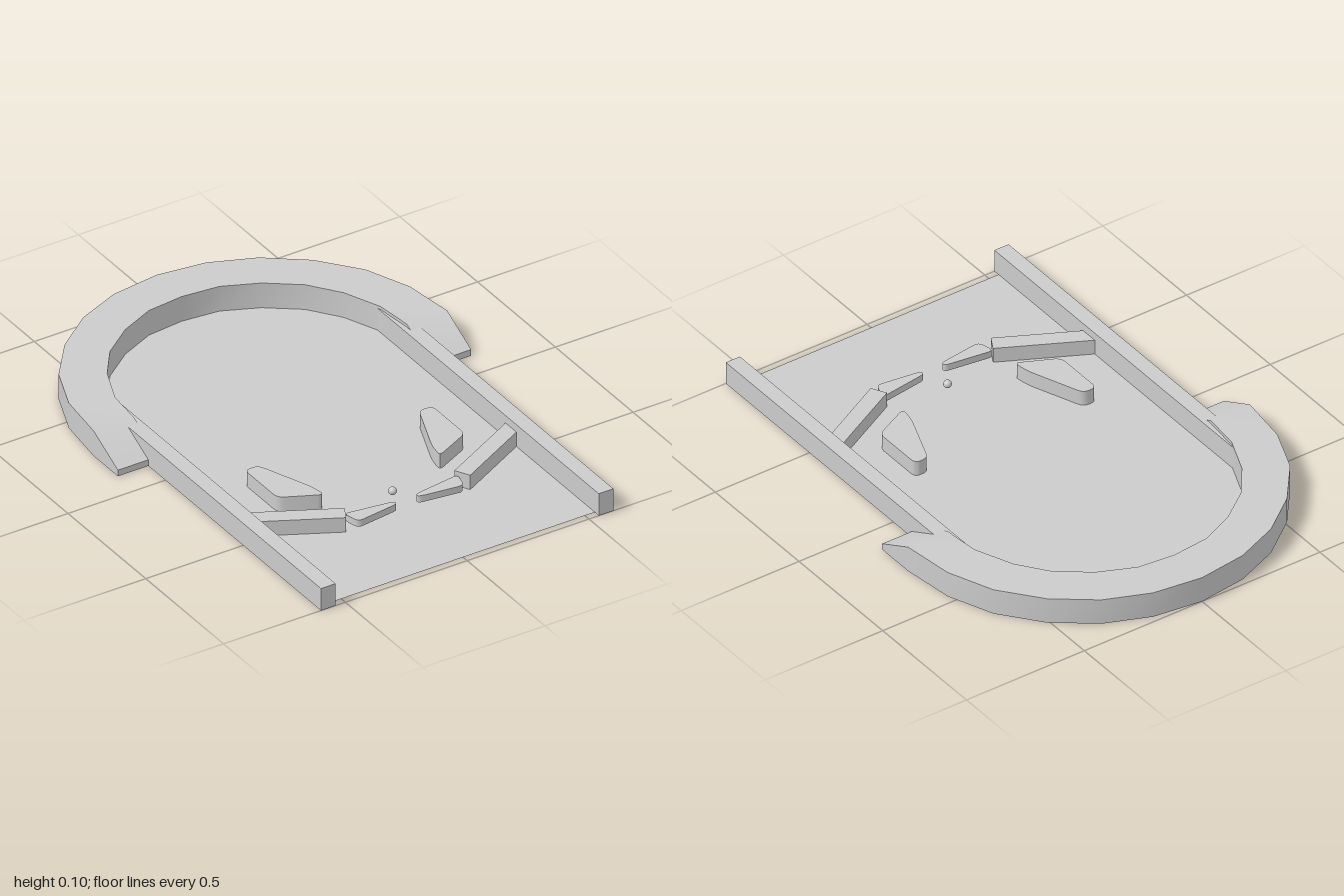
import * as THREE from 'three';
import { toCreasedNormals } from 'three/addons/utils/BufferGeometryUtils.js';

const material = new THREE.MeshStandardMaterial({ color: 0xcccccc });
const thinMaterial = new THREE.MeshStandardMaterial({ color: 0xcccccc, side: THREE.DoubleSide });

// Upright prism over an [x, z] outline, with corners rounded by r
function prism(points, y0, y1, r = 0) {
  const pts = points.map(([x, z]) => new THREE.Vector2(x, -z));
  const shape = new THREE.Shape();
  pts.forEach((p, i) => {
    const prev = pts[(i + pts.length - 1) % pts.length];
    const next = pts[(i + 1) % pts.length];
    const toward = (q) => p.clone().lerp(q, Math.min(r / p.distanceTo(q), 0.4));
    const a = toward(prev), b = toward(next);
    if (i === 0) shape.moveTo(a.x, a.y);
    else shape.lineTo(a.x, a.y);
    if (r > 0) shape.quadraticCurveTo(p.x, p.y, b.x, b.y);
  });
  shape.closePath();
  const g = new THREE.ExtrudeGeometry(shape, { depth: y1 - y0, bevelEnabled: false, curveSegments: 4 });
  g.rotateX(-Math.PI / 2).translate(0, y0, 0);
  return toCreasedNormals(g, 0.6);
}

// Half of the arch: outer x, outer z, inner x, inner z, height
const half = [
  [0.725, -0.11, 0.56, -0.11, 0.025],
  [0.725, -0.265, 0.56, -0.265, 0.102],
  [0.70, -0.465, 0.545, -0.41, 0.102],
  [0.63, -0.64, 0.485, -0.555, 0.102],
  [0.51, -0.79, 0.40, -0.67, 0.102],
  [0.36, -0.905, 0.28, -0.76, 0.102],
  [0.19, -0.975, 0.145, -0.82, 0.102],
];
const sections = [
  ...half,
  [0, -1, 0, -0.835, 0.102],
  ...half.map(([xo, zo, xi, zi, h]) => [-xo, zo, -xi, zi, h]).reverse(),
];

// Arch wall skinned over its rectangular cross-sections
function archGeometry() {
  const rings = sections.map(([xo, zo, xi, zi, h]) => [[xo, 0, zo], [xo, h, zo], [xi, h, zi], [xi, 0, zi]]);
  const pos = [];
  const quad = (a, b, c, d) => pos.push(...a, ...b, ...c, ...a, ...c, ...d);
  for (let i = 0; i < rings.length - 1; i++) {
    for (let k = 0; k < 4; k++) {
      const n = (k + 1) % 4;
      quad(rings[i][k], rings[i + 1][k], rings[i + 1][n], rings[i][n]);
    }
  }
  const last = rings[rings.length - 1];
  quad(...rings[0]);
  quad(...[...last].reverse());
  const g = new THREE.BufferGeometry();
  g.setAttribute('position', new THREE.Float32BufferAttribute(pos, 3));
  return toCreasedNormals(g, 0.6);
}

export function createModel() {
  const model = new THREE.Group();
  const add = (name, geometry, mat = material) => {
    const mesh = new THREE.Mesh(geometry, mat);
    mesh.name = name;
    model.add(mesh);
    return mesh;
  };

  // Thin playfield running under the arch
  const floor = new THREE.Shape();
  floor.moveTo(0.57, -0.975);
  sections.forEach(([xo, zo, xi, zi]) => floor.lineTo(xi * 1.02, -zi * 1.02));
  floor.lineTo(-0.57, -0.975);
  floor.closePath();
  add('playfield', new THREE.ShapeGeometry(floor).rotateX(-Math.PI / 2).translate(0, 0.001, 0), thinMaterial);

  add('arch', archGeometry());

  // Mirrored parts
  for (const [side, s] of [['left', 1], ['right', -1]]) {
    const flip = (pts) => pts.map(([x, z]) => [x * s, z]);
    add(side + 'Rail', new THREE.BoxGeometry(0.06, 0.09, 1.45).translate(0.57 * s, 0.045, 0.275));
    add(side + 'Guide', prism(flip([[0.545, 0.398], [0.545, 0.468], [0.255, 0.62], [0.225, 0.565]]), 0, 0.06));
    add(side + 'Slingshot', prism(
      flip([[0.33, 0.172], [0.385, 0.172], [0.385, 0.382], [0.235, 0.455], [0.247, 0.385]]), 0, 0.06, 0.025));
    add(side + 'Flipper', prism(
      flip([[0.044, 0.599], [0.044, 0.618], [0.217, 0.641], [0.234, 0.572]]), 0.017, 0.044, 0.022));
  }

  add('ball', new THREE.SphereGeometry(0.015, 20, 14)).position.set(0, 0.03, 0.52);
  return model;
}
